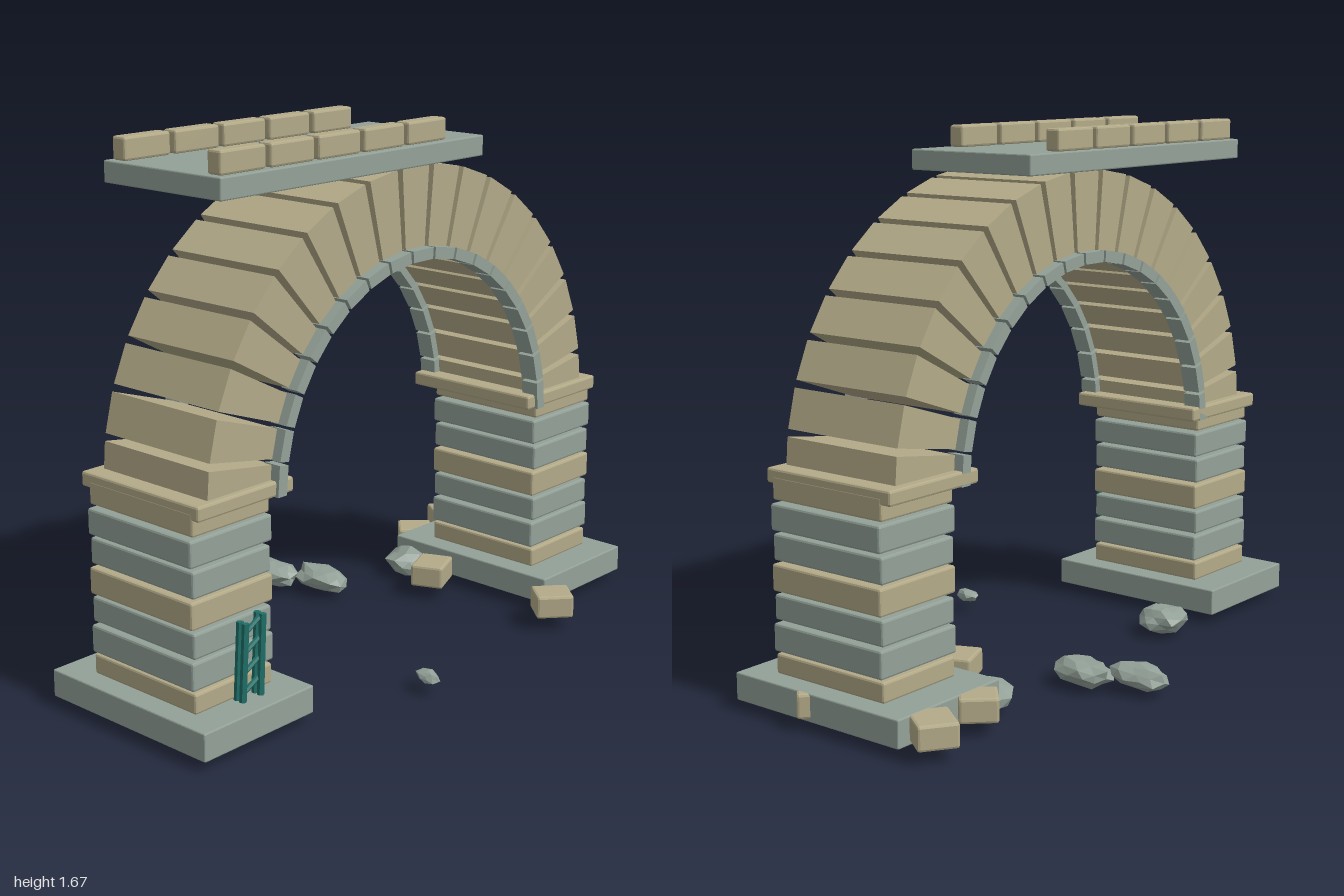
import * as THREE from 'three';
import { RoundedBoxGeometry } from 'three/addons/geometries/RoundedBoxGeometry.js';

const material = (color) => new THREE.MeshStandardMaterial({ color, flatShading: true });
const TAN = material(0xb3aa88);
const GREY = material(0x93a198);
const TEAL = material(0x1f6f68);

const ARCH_X = -0.015, ARCH_Y = 0.68, ARCH_Z = 0.065;

function add(parent, name, geometry, mat, x = 0, y = 0, z = 0) {
  const mesh = new THREE.Mesh(geometry, mat);
  mesh.name = name;
  mesh.position.set(x, y, z);
  parent.add(mesh);
  return mesh;
}

// Box with slightly chamfered edges
function block(parent, name, mat, [w, h, d], [x, y, z], bevel = 0.007) {
  return add(parent, name, new RoundedBoxGeometry(w, h, d, 1, bevel), mat, x, y, z);
}

// Tapered arch stone between two radii, centred on the given angle
function wedge(r0, r1, angle, halfAngle, z0, z1) {
  const a = angle - halfAngle, b = angle + halfAngle;
  const at = (r, t) => new THREE.Vector2(r * Math.cos(t), r * Math.sin(t));
  const shape = new THREE.Shape([at(r0, a), at(r1, a), at(r1, b), at(r0, b)]);
  return new THREE.ExtrudeGeometry(shape, { depth: z1 - z0, bevelEnabled: false }).translate(0, 0, z0);
}

// Faceted boulder, roughened by a rule on each vertex position
function rock(parent, x, y, z, w, h, d, turn, seed) {
  const g = new THREE.IcosahedronGeometry(0.5, 1);
  const p = g.attributes.position;
  const v = new THREE.Vector3();
  for (let i = 0; i < p.count; i++) {
    v.fromBufferAttribute(p, i);
    const n = Math.sin(Math.round(v.x * 50) * 1.3 + Math.round(v.y * 50) * 2.1 + Math.round(v.z * 50) * 3.7 + seed);
    v.multiplyScalar(0.95 + 0.13 * n);
    p.setXYZ(i, v.x, v.y, v.z);
  }
  g.computeVertexNormals();
  const mesh = add(parent, 'rock', g, GREY, x, y, z);
  mesh.scale.set(w, h, d);
  mesh.rotation.y = turn;
}

// Thin round bar between two points
function bar(parent, name, a, b, radius) {
  const from = new THREE.Vector3(...a), to = new THREE.Vector3(...b);
  const dir = to.clone().sub(from);
  const mesh = add(parent, name, new THREE.CylinderGeometry(radius, radius, dir.length(), 6), TEAL);
  mesh.position.copy(from).add(to).multiplyScalar(0.5);
  mesh.quaternion.setFromUnitVectors(new THREE.Vector3(0, 1, 0), dir.normalize());
}

function pier(side) {
  const group = new THREE.Group();
  group.name = side > 0 ? 'leftPier' : 'rightPier';
  const cx = ARCH_X + side * 0.77;
  block(group, 'plinth', GREY, [0.43, 0.085, 0.64], [cx, 0.0775, 0.06], 0.004);
  // Courses: bottom, top, width, material
  const courses = [
    [0.12, 0.182, 0.3, TAN], [0.19, 0.275, 0.315, GREY], [0.283, 0.36, 0.3, GREY], [0.37, 0.452, 0.315, TAN],
    [0.46, 0.54, 0.3, GREY], [0.55, 0.63, 0.315, GREY], [0.638, 0.71, 0.295, TAN],
  ];
  for (const [y0, y1, w, mat] of courses) {
    block(group, 'course', mat, [w, y1 - y0, 0.425], [cx, (y0 + y1) / 2, ARCH_Z]);
  }
  block(group, 'impost', TAN, [0.37, 0.045, 0.48], [ARCH_X + side * 0.732, 0.708, 0.06]);
  return group;
}

function arch() {
  const group = new THREE.Group();
  group.name = 'arch';
  group.position.set(ARCH_X, ARCH_Y, ARCH_Z);
  const count = 19, step = Math.PI / count;
  for (let i = 0; i < count; i++) {
    const angle = (i + 0.5) * step;
    add(group, 'voussoir', wedge(0.61, 0.863, angle, step * 0.42, -0.2125, 0.2125), TAN);
    // Narrow trim stones along both inner edges
    for (const z of [-0.215, 0.215]) {
      add(group, 'trimStone', wedge(0.585, 0.62, angle, step * 0.45, z - 0.03, z + 0.03), GREY);
    }
  }
  return group;
}

function deck() {
  const group = new THREE.Group();
  group.name = 'deck';
  block(group, 'deckSlab', GREY, [1.1, 0.063, 0.462], [-0.27, 1.572, 0.062], 0.004);
  for (const z of [-0.125, 0.25]) {
    for (let i = 0; i < 5; i++) {
      block(group, 'parapetBlock', TAN, [0.17, 0.067, 0.052], [-0.717 + i * 0.189, 1.637, z]);
    }
  }
  return group;
}

function ladder() {
  const group = new THREE.Group();
  group.name = 'ladder';
  for (const z of [0.288, 0.31]) {
    bar(group, 'rail', [-0.785, 0.12, z], [-0.77, 0.352, z], 0.011);
    bar(group, 'rail', [-0.715, 0.12, z], [-0.702, 0.362, z], 0.011);
  }
  for (let i = 0; i < 4; i++) {
    const y = 0.135 + i * 0.06;
    bar(group, 'rung', [-0.785 + i * 0.004, y, 0.302], [-0.71 + i * 0.003, y + 0.04, 0.302], 0.008);
  }
  return group;
}

function rubble() {
  const group = new THREE.Group();
  group.name = 'rubble';
  // Fallen stones: x, z, width, depth, turn
  const stones = [
    [0.665, -0.285, 0.11, 0.115, 0.75], [0.885, -0.31, 0.12, 0.14, -0.6], [0.93, 0.1, 0.09, 0.1, 0.8],
    [0.48, 0.455, 0.11, 0.12, 0.85], [0.43, -0.01, 0.13, 0.11, 0.4],
  ];
  for (const [x, z, w, d, turn] of stones) {
    block(group, 'fallenStone', TAN, [w, 0.075, d], [x, 0.082, z], 0.008).rotation.y = turn;
  }
  rock(group, 0.115, 0.055, -0.45, 0.13, 0.085, 0.21, -0.15, 1);
  rock(group, 0.185, 0.055, -0.295, 0.14, 0.085, 0.23, -0.2, 2);
  rock(group, -0.4, 0.055, -0.19, 0.19, 0.085, 0.17, 0.3, 3);
  rock(group, -0.19, 0.055, 0.49, 0.06, 0.04, 0.1, -0.2, 4);
  rock(group, 0.53, 0.05, -0.19, 0.22, 0.09, 0.17, 0.4, 5);
  rock(group, -0.83, 0.047, 0.29, 0.21, 0.094, 0.16, 0.1, 6);
  return group;
}

export function createModel() {
  const model = new THREE.Group();
  model.name = 'ruinedArch';
  model.add(pier(1), pier(-1), arch(), deck(), ladder(), rubble());
  return model;
}
